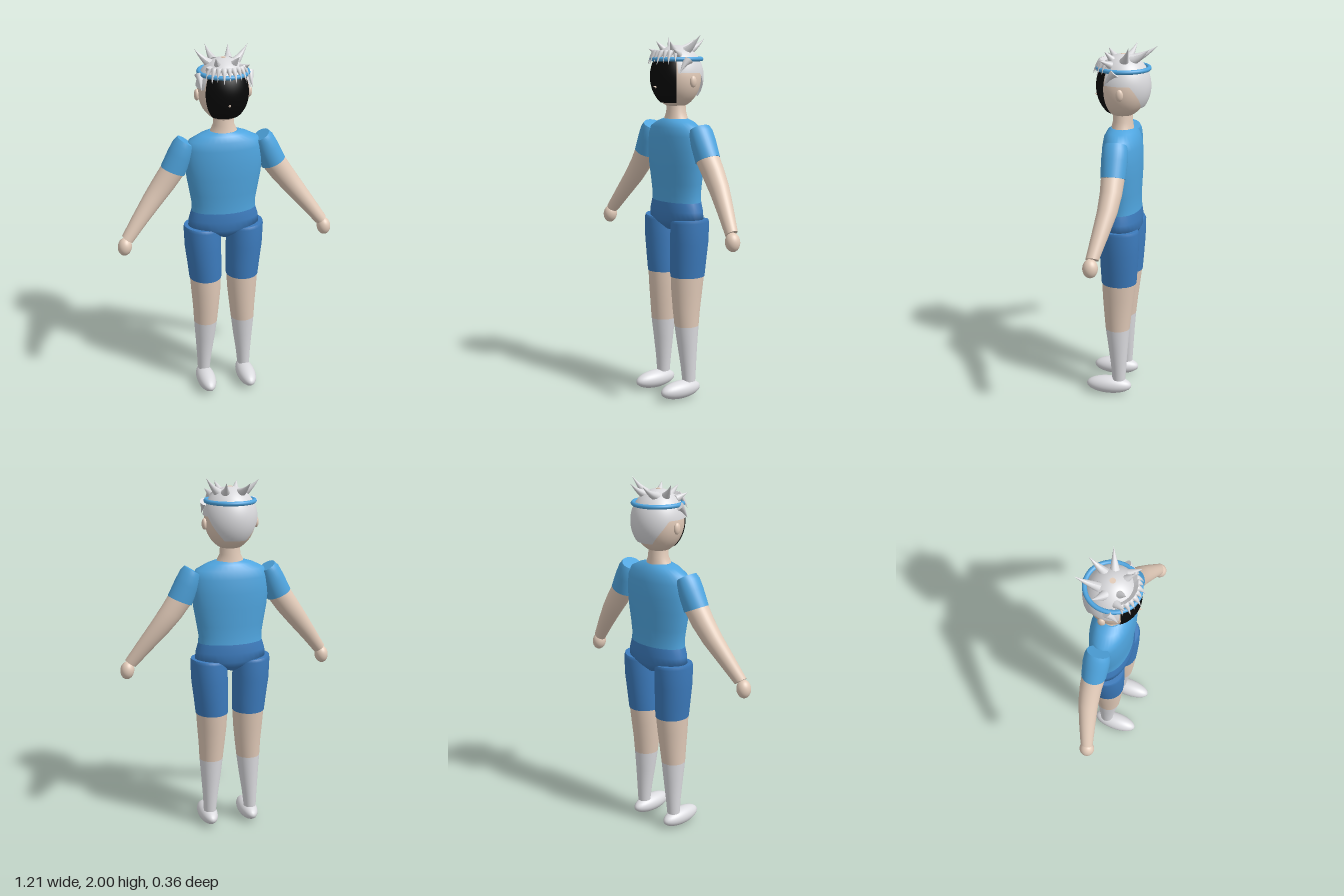
import * as THREE from 'three';

const mat = (name, color) => {
  const m = new THREE.MeshStandardMaterial({ color, side: THREE.DoubleSide });
  m.name = name;
  return m;
};

// Closed body built from elliptical rings, listed top to bottom: [x, y, z, rx, rz, tilt]
function loft(sections, side = 1, n = 32) {
  const pos = [], idx = [];
  const ring = ([x, y, z, rx, rz, tilt = 0]) => {
    const c = Math.cos(tilt * side), s = Math.sin(tilt * side);
    for (let j = 0; j < n; j++) {
      const a = (j / n) * Math.PI * 2, r = Math.cos(a) * rx;
      pos.push(x * side + r * c, y + r * s, z + Math.sin(a) * rz);
    }
  };
  sections.forEach(ring);
  for (let i = 0; i < sections.length - 1; i++)
    for (let j = 0; j < n; j++) {
      const a = i * n + j, b = i * n + ((j + 1) % n);
      idx.push(a, b, a + n, b, b + n, a + n);
    }
  // end caps have their own vertices so their rims stay sharp
  [sections[0], sections[sections.length - 1]].forEach((sec, e) => {
    const base = pos.length / 3;
    ring(sec);
    pos.push(sec[0] * side, sec[1], sec[2]);
    for (let j = 0; j < n; j++) {
      const a = base + j, b = base + ((j + 1) % n);
      idx.push(base + n, ...(e ? [a, b] : [b, a]));
    }
  });
  const g = new THREE.BufferGeometry();
  g.setAttribute('position', new THREE.Float32BufferAttribute(pos, 3));
  g.setIndex(idx);
  g.computeVertexNormals();
  return g;
}

// Part of an ellipsoid between two longitudes, from a polar angle down to a lower edge per longitude
function shell(rx, ry, rz, a0, a1, top, edge, nu, nv) {
  const pos = [], nor = [], idx = [];
  for (let i = 0; i <= nu; i++) {
    const a = a0 + ((a1 - a0) * i) / nu, low = edge(a);
    for (let k = 0; k <= nv; k++) {
      const t = top + ((low - top) * k) / nv;
      const d = new THREE.Vector3(Math.sin(t) * Math.sin(a), Math.cos(t), Math.sin(t) * Math.cos(a));
      pos.push(d.x * rx, d.y * ry, d.z * rz);
      nor.push(...new THREE.Vector3(d.x / rx, d.y / ry, d.z / rz).normalize().toArray());
      if (i < nu && k < nv) {
        const p = i * (nv + 1) + k, q = p + nv + 1;
        idx.push(p, p + 1, q, p + 1, q + 1, q);
      }
    }
  }
  const g = new THREE.BufferGeometry();
  g.setAttribute('position', new THREE.Float32BufferAttribute(pos, 3));
  g.setAttribute('normal', new THREE.Float32BufferAttribute(nor, 3));
  g.setIndex(idx);
  return g;
}

// Slightly curved cone from base to tip
function spike(base, tip, r, bend = 0) {
  const a = new THREE.Vector3(...base), d = new THREE.Vector3(...tip).sub(a), h = d.length();
  const g = new THREE.ConeGeometry(r, h, 12, 5).translate(0, h / 2, 0);
  g.applyQuaternion(new THREE.Quaternion().setFromUnitVectors(new THREE.Vector3(0, 1, 0), d.clone().normalize()));
  const p = g.attributes.position;
  for (let i = 0; i < p.count; i++) {
    const t = THREE.MathUtils.clamp(new THREE.Vector3().fromBufferAttribute(p, i).dot(d) / (h * h), 0, 1);
    p.setY(i, p.getY(i) + bend * t * (1 - t) * 4);
  }
  g.computeVertexNormals();
  return g.translate(...base);
}

const ball = (rx, ry, rz) => new THREE.SphereGeometry(1, 32, 20).scale(rx, ry, rz);

export function createModel() {
  const root = new THREE.Group();
  const skin = mat('skin', 0xe2cbb9), shirt = mat('shirt blue', 0x4fa5df), shorts = mat('shorts blue', 0x3c7bbd);
  const hair = mat('hair grey', 0xd9d9dc), white = mat('sock white', 0xdcdce0), black = mat('face black', 0x080808);
  const add = (name, geo, m, x = 0, y = 0, z = 0) => {
    const mesh = new THREE.Mesh(geo, m);
    mesh.name = name;
    mesh.position.set(x, y, z);
    root.add(mesh);
    return mesh;
  };

  // torso, pelvis and neck
  add('shirtBody', loft([
    [0, 1.55, 0, 0.08, 0.06], [0, 1.535, 0, 0.13, 0.078], [0, 1.505, 0, 0.19, 0.094], [0, 1.46, -0.003, 0.21, 0.105],
    [0, 1.38, -0.003, 0.214, 0.109], [0, 1.3, -0.003, 0.206, 0.108], [0, 1.2, -0.004, 0.188, 0.102],
    [0, 1.14, -0.005, 0.178, 0.1], [0, 1.1, -0.006, 0.18, 0.102],
  ]), shirt);
  add('pelvis', loft([
    [0, 1.1, -0.006, 0.18, 0.102], [0, 1.05, -0.006, 0.195, 0.108], [0, 1.0, -0.006, 0.2, 0.106],
    [0, 0.97, -0.006, 0.09, 0.09], [0, 0.943, -0.006, 0.035, 0.06],
  ]), shorts);
  add('neck', loft([[0, 1.65, -0.004, 0.054, 0.052], [0, 1.585, -0.004, 0.056, 0.054], [0, 1.54, -0.002, 0.078, 0.062]]), skin);

  // head, with face plate and hair cap
  const cy = 1.775, HP = Math.PI, polar = (y, ry) => Math.acos((y - cy) / ry);
  add('head', ball(0.138, 0.168, 0.137), skin, 0, cy, -0.002);
  add('facePlate', shell(0.142, 0.172, 0.141, -0.95, 0.95, polar(1.875, 0.172), () => polar(1.637, 0.172), 32, 20), black, 0, cy, -0.002);
  add('nose', spike([0, 1.722, 0.132], [0, 1.727, 0.15], 0.007), skin);
  const hairline = (a) => {
    const d = THREE.MathUtils.radToDeg(Math.abs(a));
    const y = d < 56 ? 1.862 : d < 112 ? 1.797 : d < 150 ? 1.797 - ((d - 112) / 38) * 0.127 : 1.67;
    return polar(y, 0.17);
  };
  add('hairCap', shell(0.147, 0.17, 0.148, -HP, HP, 0.1, hairline, 120, 20), hair, 0, cy, -0.006);
  add('crownSpot', new THREE.CylinderGeometry(0.015, 0.015, 0.006, 20), skin, 0, 1.942, -0.006);
  add('headband', new THREE.TorusGeometry(0.129, 0.012, 12, 64).rotateX(HP / 2).scale(1, 1, 1.05), shirt, 0, 1.87, -0.006);

  // fringe across the forehead
  for (let i = -4; i <= 4; i++) {
    const a = i * 0.23, w = i % 2 ? 0.156 : 0.146;
    add('fringeSpike', spike(
      [Math.sin(a) * 0.1, 1.905, Math.cos(a) * 0.1],
      [Math.sin(a) * 0.145, i % 2 ? 1.838 : 1.85, Math.cos(a) * w], 0.022, 0.02), hair);
  }

  for (const s of [1, -1]) {
    const side = s > 0 ? 'left' : 'right';

    // hair spikes
    add(side + 'BackSpike', spike([s * 0.04, 1.915, -0.06], [s * 0.06, 1.98, s > 0 ? -0.15 : -0.178], 0.026, -0.008), hair);
    add(side + 'CrownSpike', spike([s * 0.055, 1.905, -0.015], [s * 0.144, s > 0 ? 1.998 : 1.985, -0.057], 0.03, -0.01), hair);
    add(side + 'TopSpike', spike([s * 0.04, 1.91, 0.04], [s * 0.062, 1.965, 0.085], 0.024), hair);
    add(side + 'FrontSpike', spike([s * 0.085, 1.895, 0.045], [s * 0.115, 1.925, 0.1], 0.022), hair);
    add(side + 'TempleTuft', spike([s * 0.133, 1.865, 0.015], [s * 0.137, 1.795, 0.075], 0.026, 0.01), hair);
    add(side + 'Ear', ball(0.014, 0.031, 0.02), skin, s * 0.143, 1.752, -0.01);

    // arm
    add(side + 'Sleeve', loft([
      [0.21, 1.505, -0.003, 0.047, 0.06, 0.56], [0.222, 1.48, -0.003, 0.058, 0.068, 0.53],
      [0.242, 1.43, -0.003, 0.066, 0.07, 0.48], [0.28, 1.345, -0.002, 0.07, 0.065, 0.42],
    ], s), shirt);
    add(side + 'Arm', loft([
      [0.276, 1.355, -0.002, 0.066, 0.062, 0.42], [0.33, 1.278, -0.001, 0.062, 0.058, 0.54],
      [0.39, 1.2, 0.007, 0.055, 0.053, 0.6], [0.47, 1.098, 0.03, 0.044, 0.044, 0.62], [0.548, 0.995, 0.055, 0.034, 0.034, 0.62],
    ], s), skin);
    add(side + 'Hand', ball(0.038, 0.05, 0.04), skin, s * 0.565, 0.955, 0.062).rotation.z = s * 0.15;

    // leg
    add(side + 'ShortsLeg', loft([
      [0.121, 1.005, -0.006, 0.1, 0.1, 0.07], [0.121, 0.99, -0.006, 0.103, 0.108, 0.05], [0.118, 0.88, -0.005, 0.101, 0.107],
      [0.11, 0.77, -0.003, 0.095, 0.102], [0.106, 0.69, -0.002, 0.09, 0.097],
    ], s), shorts);
    add(side + 'Leg', loft([
      [0.106, 0.7, -0.002, 0.088, 0.095], [0.105, 0.6, 0.002, 0.082, 0.087],
      [0.106, 0.5, 0.005, 0.073, 0.077], [0.109, 0.41, 0.006, 0.066, 0.068],
    ], s), skin);
    add(side + 'Sock', loft([
      [0.109, 0.41, 0.006, 0.066, 0.068], [0.112, 0.3, 0.003, 0.055, 0.056],
      [0.117, 0.18, -0.001, 0.042, 0.044], [0.12, 0.09, -0.002, 0.035, 0.037],
    ], s), white);
    add(side + 'Shoe', ball(0.053, 0.05, 0.13), white, s * 0.12, 0.05, 0.055);
  }
  return root;
}
